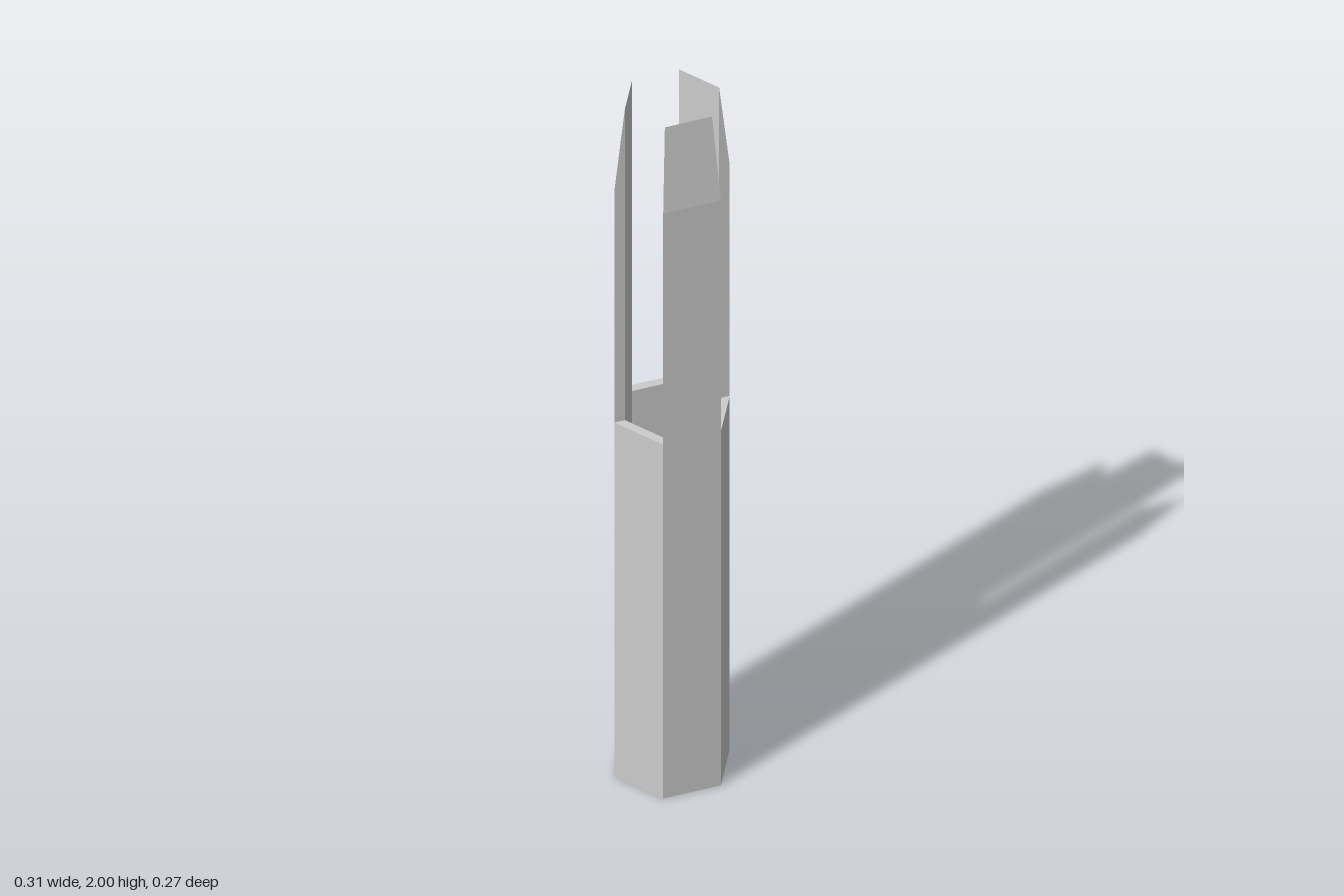
import * as THREE from 'three';

export function createModel() {
  const model = new THREE.Group();
  model.name = 'hexagonalHolder';

  const OUTER = 0.153, INNER = 0.125;                  // corner radii of the hexagon
  const FLOOR = 0.03, RIM = 1.065, TAPER = 1.76, TOP = 2;
  const SIDE = Math.PI / 3;

  const grey = new THREE.MeshStandardMaterial({ color: 0xcccccc, flatShading: true });
  const greyDouble = grey.clone();
  greyDouble.side = THREE.DoubleSide;

  const toPoints = (list) => list.map(([r, y]) => new THREE.Vector2(r, y));
  const base = [[0, 0], [OUTER, 0]];
  const inside = [[INNER, FLOOR], [0, FLOOR]];
  const shortProfile = toPoints([...base, [OUTER, RIM], [INNER, RIM], ...inside]);
  const tallProfile = toPoints([...base, [OUTER, TAPER], [INNER, TOP], ...inside]);

  // Exposed edge of a prong above the rim
  const edgeGeometry = new THREE.ShapeGeometry(new THREE.Shape(
    toPoints([[INNER, RIM], [OUTER, RIM], [OUTER, TAPER], [INNER, TOP]])));

  // Six flat sides, alternating tall bevelled prongs and short walls
  for (let k = 0; k < 6; k++) {
    const tall = k % 2 === 0;
    const start = (k - 0.5) * SIDE;
    const side = new THREE.Group();
    side.name = tall ? 'prongSide' : 'shortSide';

    const wall = new THREE.Mesh(
      new THREE.LatheGeometry(tall ? tallProfile : shortProfile, 1, start, SIDE), grey);
    wall.name = 'wall';
    side.add(wall);

    if (tall) {
      for (const phi of [start, start + SIDE]) {
        const edge = new THREE.Mesh(edgeGeometry, greyDouble);
        edge.name = 'prongEdge';
        edge.rotation.y = phi - Math.PI / 2;
        side.add(edge);
      }
    }
    model.add(side);
  }
  return model;
}
